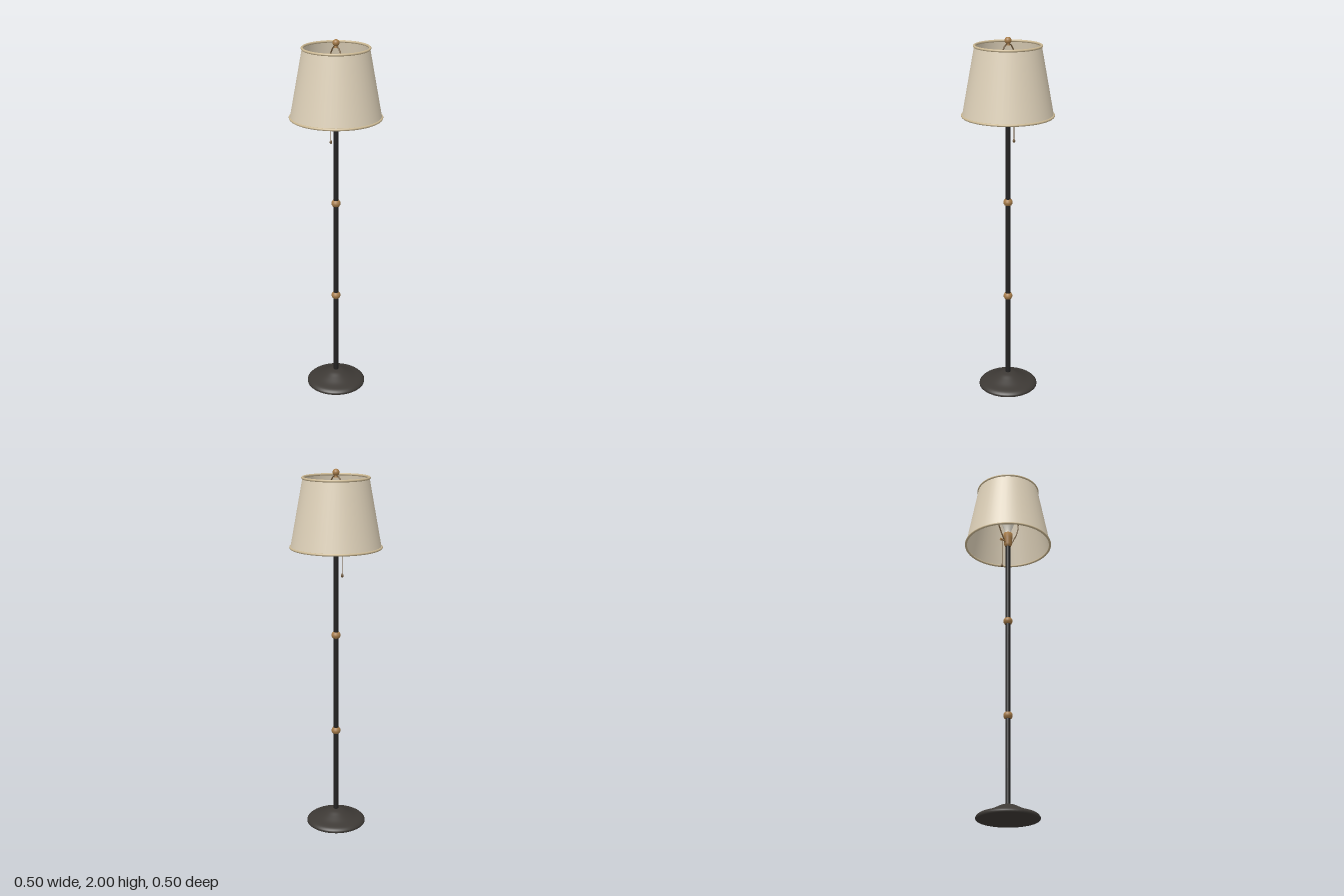
import * as THREE from 'three';

const paint = (color, side = THREE.FrontSide) => new THREE.MeshStandardMaterial({ color, side });

export function createModel() {
  const lamp = new THREE.Group();
  const iron = paint(0x3d3935);
  const black = paint(0x222121);
  const brass = paint(0xa67c4a);
  const bronze = paint(0x6b5335);
  const linen = paint(0xddd0b8, THREE.DoubleSide);
  const trim = paint(0xcbb893);
  const glass = paint(0xeee8da);

  const add = (name, geometry, material, x = 0, y = 0, z = 0) => {
    const mesh = new THREE.Mesh(geometry, material);
    mesh.name = name;
    mesh.position.set(x, y, z);
    lamp.add(mesh);
    return mesh;
  };
  const lathe = (points, segments = 32) =>
    new THREE.LatheGeometry(points.map(([r, y]) => new THREE.Vector2(r, y)), segments);

  // Weighted foot with a softly swept top
  const sweep = new THREE.SplineCurve([
    [0.165, 0.012], [0.15, 0.026], [0.11, 0.039], [0.07, 0.058], [0.04, 0.073], [0.014, 0.079],
  ].map(([r, y]) => new THREE.Vector2(r, y))).getPoints(20).map((p) => [p.x, p.y]);
  add('base', lathe([[0, 0], [0.16, 0], [0.165, 0.004], ...sweep, [0, 0.08]], 48), iron);

  // Pole and its two collars
  add('pole', new THREE.CylinderGeometry(0.0135, 0.0135, 1.53, 24), black, 0, 0.835);
  for (const [name, y] of [['lowerCollar', 0.557], ['upperCollar', 1.11]]) {
    add(name, lathe([[0.013, -0.018], [0.019, -0.016], [0.024, -0.007], [0.025, 0],
      [0.024, 0.007], [0.019, 0.016], [0.013, 0.018]]), brass, 0, y);
  }

  // Socket and bulb
  add('socket', lathe([[0, 1.585], [0.016, 1.585], [0.022, 1.6], [0.022, 1.635],
    [0.026, 1.64], [0.026, 1.67], [0, 1.67]]), brass);
  add('bulb', lathe([[0.018, 1.67], [0.019, 1.69], [0.028, 1.715], [0.035, 1.735], [0.037, 1.755],
    [0.034, 1.773], [0.024, 1.786], [0.012, 1.791], [0, 1.792]]), glass);

  // Harp that bows around the bulb and carries the finial
  const half = [[0.02, 1.605], [0.045, 1.65], [0.072, 1.71], [0.08, 1.77], [0.07, 1.85], [0.045, 1.92], [0.02, 1.958]];
  const bow = [
    ...half.map(([x, y]) => new THREE.Vector3(-x, y, 0)),
    new THREE.Vector3(0, 1.966, 0),
    ...half.slice().reverse().map(([x, y]) => new THREE.Vector3(x, y, 0)),
  ];
  add('harp', new THREE.TubeGeometry(new THREE.CatmullRomCurve3(bow), 72, 0.0035, 8), bronze);

  // Finial
  add('finialStem', new THREE.CylinderGeometry(0.007, 0.01, 0.016, 16), brass, 0, 1.964);
  add('finial', new THREE.SphereGeometry(0.018, 24, 16), brass, 0, 1.982);

  // Switch arm with its pull chain
  add('switchArm', new THREE.CylinderGeometry(0.004, 0.004, 0.035, 12), brass, -0.036, 1.615).rotation.z = Math.PI / 2;
  add('switchTip', new THREE.CylinderGeometry(0.007, 0.007, 0.014, 12), brass, -0.05, 1.615).rotation.z = Math.PI / 2;
  add('pullChain', new THREE.CylinderGeometry(0.0016, 0.0016, 0.165, 8), bronze, -0.045, 1.532);
  add('pullWeight', lathe([[0, -0.01], [0.005, -0.008], [0.0075, -0.002], [0.006, 0.004], [0.002, 0.012], [0, 0.013]], 16),
    bronze, -0.045, 1.445);

  // Tapered open shade with a rolled trim at each rim
  add('shade', new THREE.CylinderGeometry(0.174, 0.241, 0.362, 48, 1, true), linen, 0, 1.774);
  for (const [name, radius, y] of [['topTrim', 0.174, 1.955], ['bottomTrim', 0.241, 1.593]]) {
    add(name, new THREE.TorusGeometry(radius, 0.0065, 10, 48), trim, 0, y).rotation.x = Math.PI / 2;
  }
  return lamp;
}
